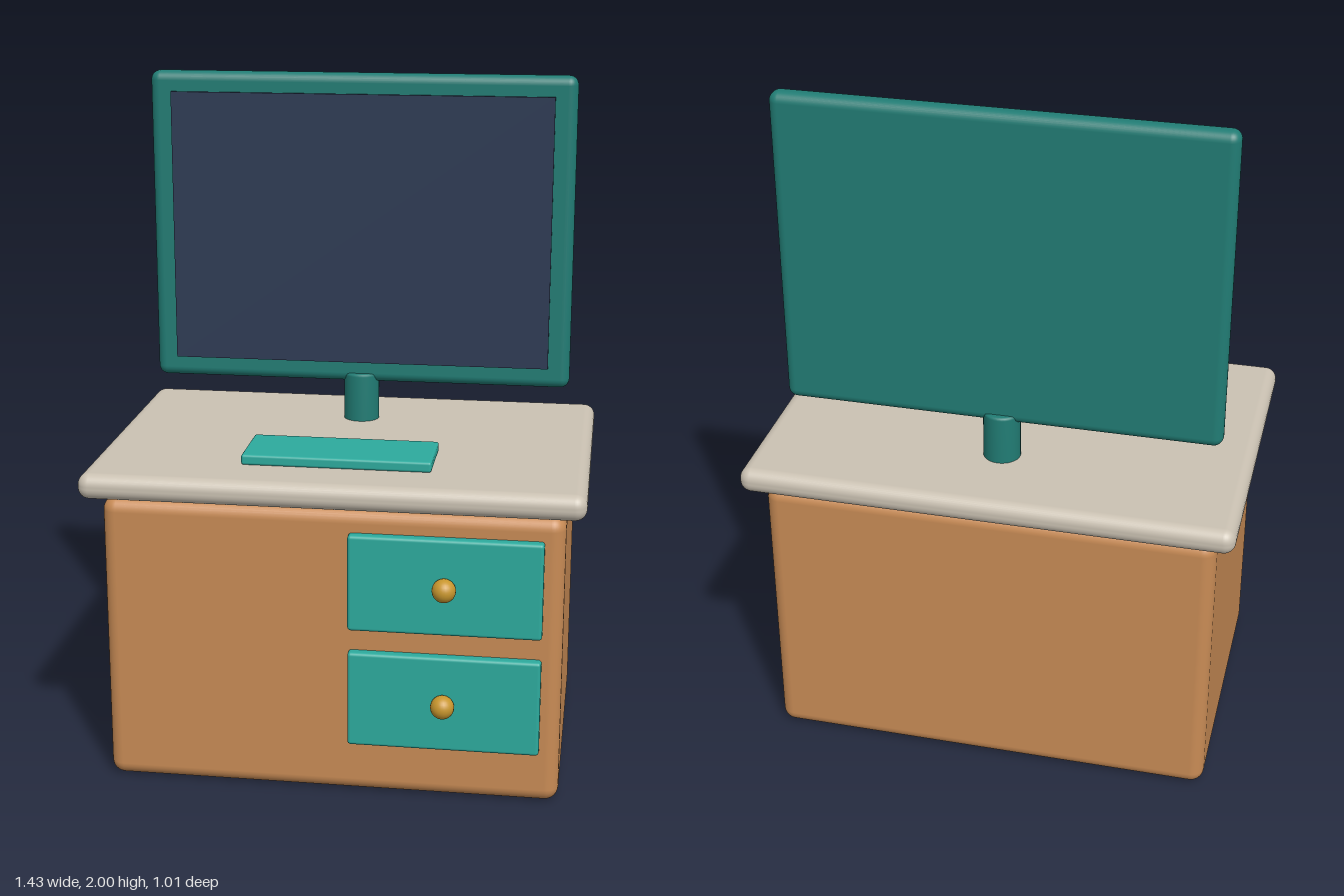
import * as THREE from 'three';
import { RoundedBoxGeometry } from 'three/addons/geometries/RoundedBoxGeometry.js';

const mat = (name, color) => {
  const m = new THREE.MeshStandardMaterial({ color });
  m.name = name;
  return m;
};

export function createModel() {
  const wood = mat('wood', 0xc88b55);
  const stone = mat('worktop beige', 0xcac1b2);
  const teal = mat('bright teal', 0x2daa9d);
  const darkTeal = mat('dark teal', 0x217c74);
  const navy = mat('screen navy', 0x2d3a54);
  const brass = mat('brass', 0xc8962e);

  const group = new THREE.Group();
  group.name = 'deskWithMonitor';

  const add = (name, geometry, material, x, y, z) => {
    const mesh = new THREE.Mesh(geometry, material);
    mesh.name = name;
    mesh.position.set(x, y, z);
    group.add(mesh);
    return mesh;
  };
  // Rounded box given by its extents on each axis
  const block = (name, material, [x0, x1], [y0, y1], [z0, z1], radius) =>
    add(name, new RoundedBoxGeometry(x1 - x0, y1 - y0, z1 - z0, 4, radius), material,
      (x0 + x1) / 2, (y0 + y1) / 2, (z0 + z1) / 2);

  // Cabinet and worktop
  block('cabinet', wood, [-0.658, 0.658], [0, 0.86], [-0.449, 0.426], 0.04);
  block('worktop', stone, [-0.714, 0.714], [0.868, 0.943], [-0.504, 0.48], 0.034);

  // Two drawers with round knobs, on the model's left
  for (const [name, y] of [['lower', 0.301], ['upper', 0.652]]) {
    block(name + 'Drawer', teal, [0.053, 0.601], [y - 0.142, y + 0.142], [0.4, 0.455], 0.01);
    add(name + 'Knob', new THREE.SphereGeometry(0.034, 24, 16), brass, 0.327, y, 0.47);
  }

  // Monitor with inset screen panel
  block('monitorFrame', darkTeal, [-0.637, 0.637], [1.063, 2], [-0.265, -0.2], 0.028);
  add('screen', new THREE.BoxGeometry(1.144, 0.814, 0.009), navy, 0, 1.533, -0.1945);

  // Stand column with a softly bevelled top rim
  const profile = [[0, 0.94], [0.054, 0.94], [0.054, 0.94], [0.054, 1.082], [0.052, 1.088], [0.046, 1.09], [0, 1.09]];
  add('monitorStand',
    new THREE.LatheGeometry(profile.map(([r, y]) => new THREE.Vector2(r, y)), 32),
    darkTeal, 0, 0, -0.233);

  // Keyboard
  block('keyboard', teal, [-0.273, 0.273], [0.942, 0.973], [0.1, 0.314], 0.008);

  return group;
}
